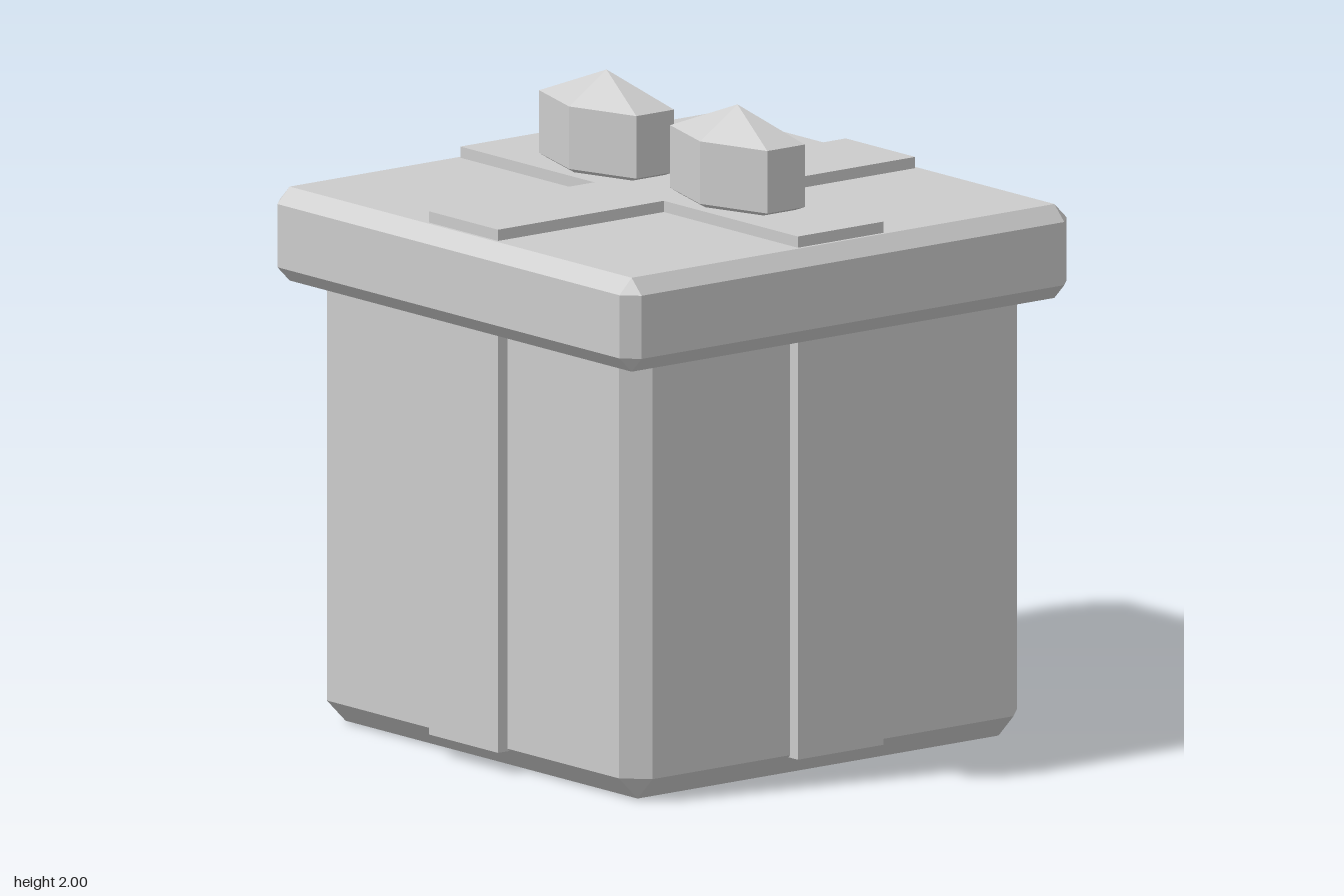
import * as THREE from 'three';
import { ConvexGeometry } from 'three/addons/geometries/ConvexGeometry.js';

const grey = new THREE.MeshStandardMaterial({ color: 0xcccccc, flatShading: true });
grey.name = 'plain grey';

function addPart(group, name, geometry) {
  const mesh = new THREE.Mesh(geometry, grey);
  mesh.name = name;
  group.add(mesh);
  return mesh;
}

// Square block with every edge and corner cut off by c
function chamferedBlock(half, y0, y1, c) {
  const h = (y1 - y0) / 2;
  const mid = (y0 + y1) / 2;
  const points = [];
  for (const sx of [-1, 1]) for (const sy of [-1, 1]) for (const sz of [-1, 1]) {
    for (let axis = 0; axis < 3; axis++) {
      const inset = [c, c, c];
      inset[axis] = 0;
      points.push(new THREE.Vector3(
        sx * (half - inset[0]),
        mid + sy * (h - inset[1]),
        sz * (half - inset[2])
      ));
    }
  }
  return new ConvexGeometry(points);
}

// Upright column with a plus-shaped plan
function crossColumn(reach, halfWidth, y0, y1) {
  const a = reach, b = halfWidth;
  const outline = [
    [a, -b], [a, b], [b, b], [b, a], [-b, a], [-b, b],
    [-a, b], [-a, -b], [-b, -b], [-b, -a], [b, -a], [b, -b],
  ].map(([x, y]) => new THREE.Vector2(x, y));
  const geometry = new THREE.ExtrudeGeometry(new THREE.Shape(outline), { depth: y1 - y0, bevelEnabled: false });
  return geometry.rotateX(-Math.PI / 2).translate(0, y0, 0);
}

export function createModel() {
  const model = new THREE.Group();
  model.name = 'giftBox';

  // Box and its overhanging lid
  addPart(model, 'box', chamferedBlock(0.78, 0, 1.5, 0.073));
  addPart(model, 'lid', chamferedBlock(0.876, 1.369, 1.662, 0.048));

  // Ribbon running over the top and down all four sides
  addPart(model, 'ribbon', crossColumn(0.817, 0.168, 0.065, 1.697));

  // Two six-sided bow loops with pointed tops
  const profile = [[0, 1.615], [1, 1.71], [1, 1.905], [0, 2]]
    .map(([r, y]) => new THREE.Vector2(r, y));
  for (const side of [-1, 1]) {
    const loop = new THREE.LatheGeometry(profile, 6).scale(0.272, 1, 0.147);
    addPart(model, side > 0 ? 'leftBowLoop' : 'rightBowLoop', loop).position.x = side * 0.317;
  }

  return model;
}
